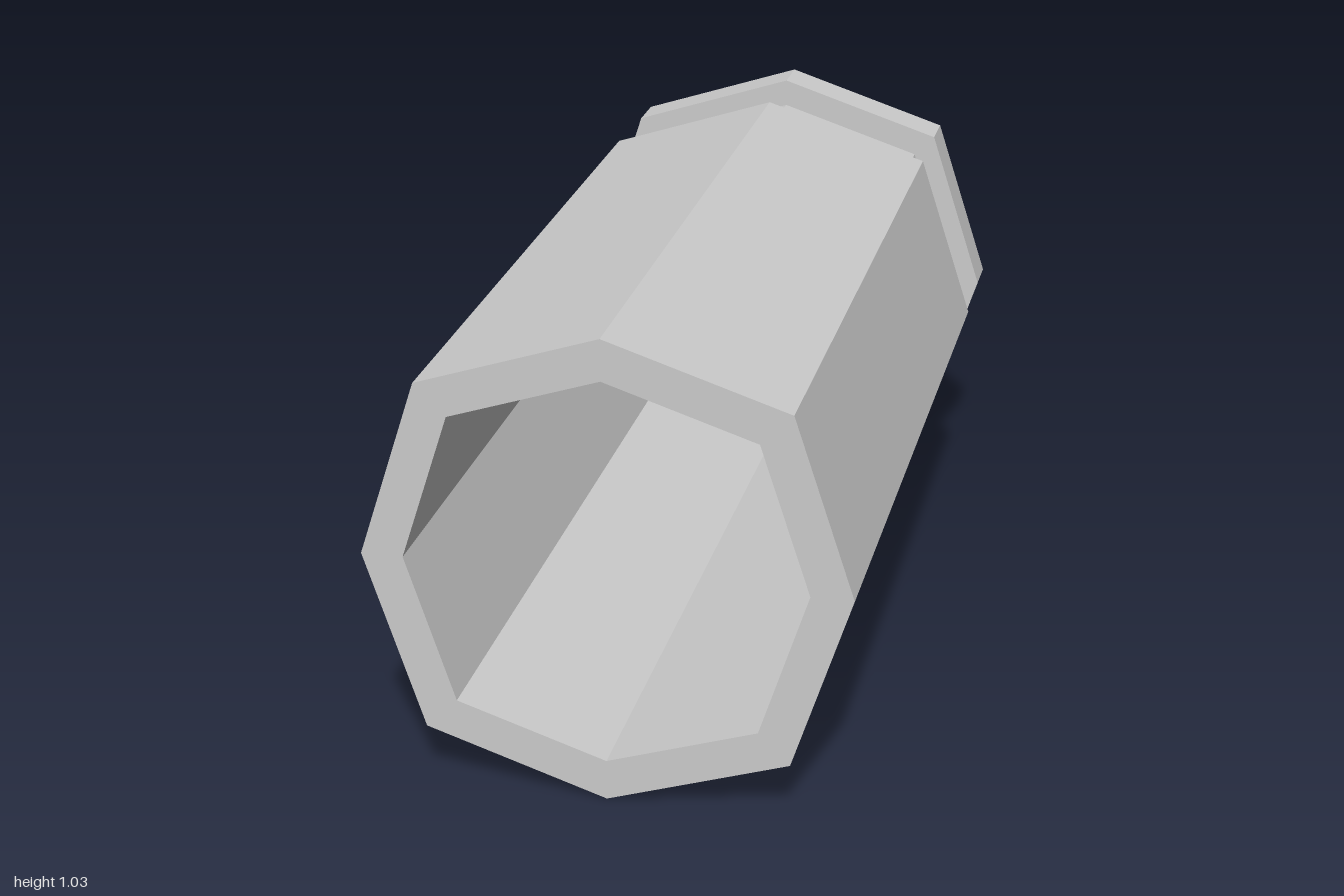
import * as THREE from 'three';

const CENTER_Y = 0.518;
const DIAGONAL = 0.754 / Math.SQRT1_2; // corners off the axes sit slightly further out

// Eight-sided turned part along z; profile is [radius, z] with the outside running back to front
function turned(name, profile, material) {
  const points = profile.map(([r, z]) => new THREE.Vector2(r, z));
  const geometry = new THREE.LatheGeometry(points, 8).rotateX(Math.PI / 2);
  const p = geometry.attributes.position;
  for (let i = 0; i < p.count; i++) {
    const x = p.getX(i), y = p.getY(i);
    if (Math.abs(x) > 1e-4 && Math.abs(y) > 1e-4) p.setXY(i, x * DIAGONAL, y * DIAGONAL);
  }
  const flat = geometry.toNonIndexed();
  flat.computeVertexNormals();
  const mesh = new THREE.Mesh(flat, material);
  mesh.name = name;
  mesh.position.y = CENTER_Y;
  return mesh;
}

export function createModel() {
  const group = new THREE.Group();
  group.name = 'emptyCasing';
  const metal = new THREE.MeshStandardMaterial({ color: 0xcccccc, flatShading: true });

  // Neck groove, sloped shoulder, straight wall, open mouth and hollow interior
  group.add(turned('casingBody', [
    [0.447, -0.893], [0.447, -0.785], [0.517, -0.675], [0.517, 1],
    [0.427, 1], [0.427, -0.78], [0, -0.78],
  ], metal));

  // Rear rim with a sloped recess in its back face
  group.add(turned('rim', [
    [0.15, -0.935], [0.24, -0.935], [0.31, -1], [0.512, -1],
    [0.512, -0.893], [0.447, -0.893],
  ], metal));

  // Raised cap in the middle of the recess
  group.add(turned('primerCap', [
    [0, -1], [0.15, -1], [0.15, -0.935],
  ].map(([r, z]) => [r, z]), metal));

  return group;
}
